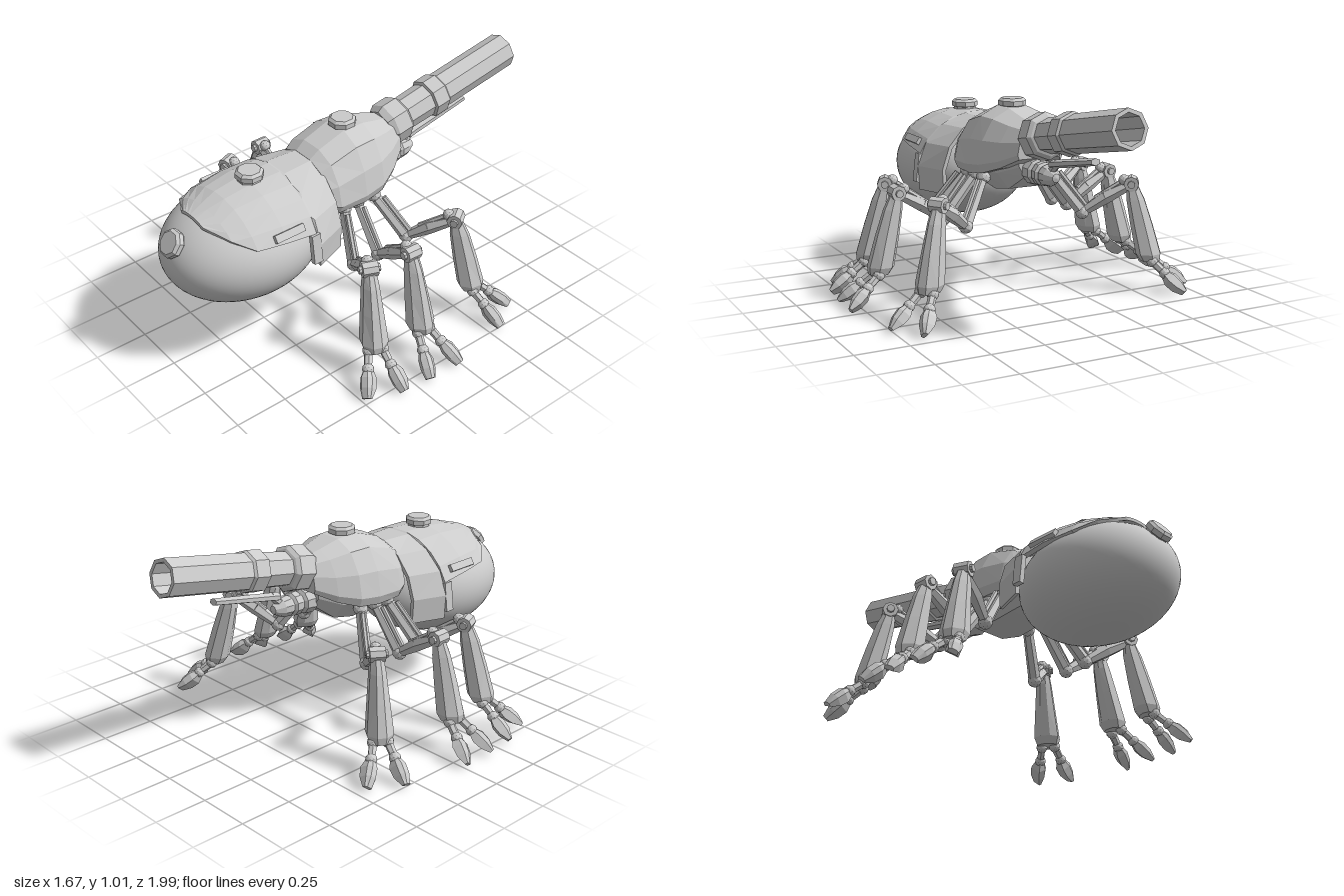
import * as THREE from 'three';

const flat = new THREE.MeshStandardMaterial({ color: 0xcccccc, flatShading: true });
const smooth = new THREE.MeshStandardMaterial({ color: 0xcccccc });
const V = (x, y, z) => new THREE.Vector3(x, y, z);

function add(parent, name, geo, mat = flat) {
  const m = new THREE.Mesh(geo, mat);
  m.name = name;
  parent.add(m);
  return m;
}

// Closed solid through rings of points; faces are turned outward by volume sign
function loft(rings) {
  const n = rings[0].length, pts = rings.flat(), tris = [];
  for (let i = 0; i < rings.length - 1; i++) for (let j = 0; j < n; j++) {
    const a = i * n + j, b = i * n + (j + 1) % n;
    tris.push([a, b, b + n], [a, b + n, a + n]);
  }
  const last = (rings.length - 1) * n;
  const cap = THREE.ShapeUtils.triangulateShape(rings[0].map((p) => new THREE.Vector2(p.x, p.y)), []);
  cap.forEach(([a, b, c]) => {
    const area = (pts[b].x - pts[a].x) * (pts[c].y - pts[a].y) - (pts[c].x - pts[a].x) * (pts[b].y - pts[a].y);
    const ringArea = THREE.ShapeUtils.area(rings[0]);
    const t = area * ringArea > 0 ? [a, b, c] : [a, c, b];
    tris.push([t[0], t[2], t[1]], t.map((k) => k + last));
  });
  let vol = 0;
  tris.forEach(([a, b, c]) => { vol += pts[a].dot(pts[b].clone().cross(pts[c])); });
  const g = new THREE.BufferGeometry().setFromPoints(pts);
  g.setIndex(tris.flatMap(([a, b, c]) => (vol > 0 ? [a, b, c] : [a, c, b])));
  g.computeVertexNormals();
  return g;
}

// Tapered rod between two points
function rod(parent, name, a, b, r1, r2, sides = 6) {
  const d = b.clone().sub(a);
  const m = add(parent, name, new THREE.CylinderGeometry(r2, r1, d.length(), sides));
  m.position.copy(a).addScaledVector(d, 0.5);
  m.quaternion.setFromUnitVectors(V(0, 1, 0), d.normalize());
  return m;
}

function ball(parent, name, p, r) {
  const m = add(parent, name, new THREE.IcosahedronGeometry(r, 1));
  m.position.copy(p);
  return m;
}

// Octagonal hatch with a bevelled cap
function hatch(parent, name, p, tilt) {
  const prof = [[0, -0.03], [0.055, -0.03], [0.055, 0.005], [0.065, 0.008], [0.065, 0.03], [0.052, 0.042], [0, 0.042]];
  const m = add(parent, name, new THREE.LatheGeometry(prof.map(([x, y]) => new THREE.Vector2(x, y)), 8, Math.PI / 8));
  m.position.copy(p);
  m.rotation.x = tilt;
}

function buildAbdomen(root) {
  const g = new THREE.Group();
  g.name = 'abdomen';
  root.add(g);
  const body = add(g, 'abdomenBody', new THREE.SphereGeometry(1, 48, 32), smooth);
  body.scale.set(0.313, 0.25, 0.385);
  body.position.set(0, 0.53, 0.6);

  // Armour plate: z, half width, height, half angle of its arc in degrees
  const sections = [
    [0.24, 0.265, 0.29, 105], [0.40, 0.325, 0.29, 105], [0.41, 0.322, 0.29, 70],
    [0.56, 0.328, 0.288, 66], [0.70, 0.313, 0.268, 62], [0.78, 0.288, 0.242, 45], [0.845, 0.25, 0.222, 20],
  ];
  const rings = sections.map(([z, rx, ry, deg]) => {
    const outer = [], inner = [], N = 9;
    for (let i = 0; i <= N; i++) {
      const a = THREE.MathUtils.degToRad(deg) * (2 * i / N - 1);
      outer.push(V(rx * Math.sin(a), 0.53 + ry * Math.cos(a), z));
      inner.unshift(V(rx * 0.93 * Math.sin(a), 0.53 + ry * 0.93 * Math.cos(a), z));
    }
    return [...outer, ...inner];
  });
  add(g, 'abdomenArmour', loft(rings));

  // Side vents and latches on the armour edge
  for (const s of [1, -1]) {
    const vent = add(g, 'sideVent', new THREE.BoxGeometry(0.02, 0.035, 0.15));
    vent.position.set(s * 0.283, 0.68, 0.54);
    vent.rotation.z = s * 0.6;
    const latch = add(g, 'sideLatch', new THREE.BoxGeometry(0.025, 0.14, 0.045));
    latch.position.set(s * 0.31, 0.56, 0.42);
    latch.rotation.z = s * 0.12;
  }
  hatch(g, 'abdomenHatch', V(0, 0.82, 0.54), 0);
  hatch(g, 'frontHatch', V(0, 0.645, 0.935), 0.95);
}

function buildThorax(root) {
  const g = new THREE.Group();
  g.name = 'thorax';
  root.add(g);
  const half = [[0.25, 1], [0.65, 0.85], [0.9, 0.52], [1, 0.14], [0.93, 0]];
  const outline = [...half, ...half.map(([x, t]) => [-x, t]).reverse()];
  const hull = (list) => loft(list.map(([z, w, top, bot]) => outline.map(([x, t]) => V(x * w, bot + t * (top - bot), z))));
  add(g, 'thoraxArmour', hull([
    [0.25, 0.195, 0.815, 0.61], [0.2, 0.217, 0.85, 0.59], [0.06, 0.225, 0.897, 0.59],
    [-0.05, 0.215, 0.893, 0.605], [-0.15, 0.168, 0.865, 0.64], [-0.24, 0.11, 0.84, 0.69],
  ]));

  // Underside, narrower and rounded towards the bottom
  const lower = [[1, 1], [0.95, 0.5], [0.55, 0], [-0.55, 0], [-0.95, 0.5], [-1, 1]];
  add(g, 'thoraxUnderside', loft([
    [0.26, 0.13, 0.56], [0.15, 0.18, 0.53], [0, 0.185, 0.515], [-0.1, 0.15, 0.53], [-0.19, 0.08, 0.6],
  ].map(([z, w, bot]) => lower.map(([x, t]) => V(x * w, bot + t * (0.69 - bot), z)))));
  hatch(g, 'thoraxHatch', V(0, 0.89, 0.025), 0);

  // Small head with rings and a thin spike under the barrel
  const prof = [[0, 0], [0.05, 0.01], [0.065, 0.06], [0.06, 0.1], [0.045, 0.11], [0.055, 0.125],
    [0.055, 0.155], [0.042, 0.165], [0.05, 0.18], [0.045, 0.215], [0.02, 0.26], [0, 0.265]];
  const head = add(g, 'head', new THREE.LatheGeometry(prof.map(([x, y]) => new THREE.Vector2(x, y)), 10));
  head.position.set(0, 0.625, -0.135);
  head.rotation.x = -Math.PI / 2;
  const spike = rod(g, 'headSpike', V(0, 0.685, -0.37), V(0, 0.755, -0.725), 0.02, 0.016);
  spike.scale.x = 1.5;
  rod(g, 'spikeMount', V(0, 0.63, -0.33), V(0, 0.70, -0.41), 0.02, 0.018);
}

// Hollow octagonal barrel, tilted upward to the rear
function buildBarrel(root) {
  const prof = [[0, -0.03], [0.09, -0.03], [0.108, 0], [0.108, 0.08], [0.092, 0.095], [0.08, 0.1], [0.083, 0.245],
    [0.097, 0.25], [0.097, 0.325], [0.086, 0.335], [0.086, 0.76], [0.068, 0.76], [0.068, 0.4], [0, 0.4]];
  const barrel = add(root, 'barrel', new THREE.LatheGeometry(prof.map(([x, y]) => new THREE.Vector2(x, y)), 8));
  barrel.position.set(0, 0.787, -0.235);
  barrel.rotation.x = -Math.PI / 2 + 0.19;
}

// One leg, reaching out along +x from its hip
function buildLeg(z, angle) {
  const leg = new THREE.Group();
  leg.name = 'leg';
  leg.position.set(0.19, 0, z);
  leg.rotation.y = -angle;
  const hip = V(-0.02, 0.58, 0), bend = V(0.14, 0.38, 0), knee = V(0.37, 0.52, 0);
  ball(leg, 'hipJoint', hip, 0.035);
  rod(leg, 'upperLeg', hip, bend, 0.024, 0.03);
  rod(leg, 'upperLegPiston', V(0.03, 0.575, 0), V(0.16, 0.41, 0), 0.012, 0.012);
  ball(leg, 'elbowJoint', bend, 0.034);
  rod(leg, 'middleLeg', bend, V(0.25, 0.455, 0), 0.022, 0.034);
  rod(leg, 'middleLegEnd', V(0.25, 0.455, 0), knee, 0.034, 0.022);
  rod(leg, 'middleLegPiston', V(0.2, 0.45, 0), V(0.33, 0.535, 0), 0.013, 0.013);

  // Knee axle with end bolts
  rod(leg, 'kneeAxle', V(0.37, 0.525, -0.035), V(0.37, 0.525, 0.035), 0.036, 0.036, 8);
  rod(leg, 'kneeBolt', V(0.37, 0.525, -0.048), V(0.37, 0.525, 0.048), 0.018, 0.018, 8);
  ball(leg, 'kneeCap', V(0.335, 0.54, 0), 0.027);

  // Shin flaring towards the foot
  const hex = [[1, 0.35], [0.35, 1], [-0.6, 1], [-1, 0.4], [-1, -0.4], [-0.6, -1], [0.35, -1], [1, -0.35]];
  const shin = [[0.375, 0.51, 0.028, 0.028], [0.39, 0.45, 0.042, 0.036], [0.42, 0.33, 0.052, 0.047],
    [0.455, 0.19, 0.058, 0.06], [0.465, 0.155, 0.045, 0.048]];
  // Sections are laid out flat in x-y, then turned so they stack along the height
  const geo = loft(shin.map(([u, y, wu, wz]) => hex.map(([a, b]) => V(u + a * wu, b * wz, y))));
  geo.rotateX(-Math.PI / 2);
  add(leg, 'shin', geo);

  // Two splayed toes
  for (const s of [1, -1]) {
    const a = V(0.475, 0.155, s * 0.032), b = V(0.535, 0.105, s * 0.052);
    ball(leg, 'ankleJoint', a, 0.028);
    rod(leg, 'toeLink', a, b, 0.02, 0.018);
    ball(leg, 'toeJoint', b, 0.027);
    const toe = new THREE.Group();
    toe.name = 'toe';
    toe.position.copy(b);
    toe.quaternion.setFromUnitVectors(V(0, 0, 1), V(0.1, -0.085, s * 0.035).normalize());
    const claw = [[0, 0.016, 0.016], [0.04, 0.03, 0.03], [0.085, 0.03, 0.027], [0.13, 0.021, 0.01]];
    add(toe, 'claw', loft(claw.map(([d, w, h]) =>
      [[1, -1], [1, 0.4], [0.5, 1], [-0.5, 1], [-1, 0.4], [-1, -1]].map(([x, y]) => V(x * w, y * h, d)))));
    leg.add(toe);
  }
  return leg;
}

export function createModel() {
  const root = new THREE.Group();
  root.name = 'mechanicalInsect';
  buildAbdomen(root);
  buildThorax(root);
  buildBarrel(root);
  for (const s of [1, -1]) {
    const side = new THREE.Group();
    side.name = s > 0 ? 'leftLegs' : 'rightLegs';
    side.scale.x = s;
    [[0.16, 0.4], [0.075, 0.04], [-0.03, -0.59]].forEach(([z, a]) => side.add(buildLeg(z, a)));
    root.add(side);
  }
  return root;
}
